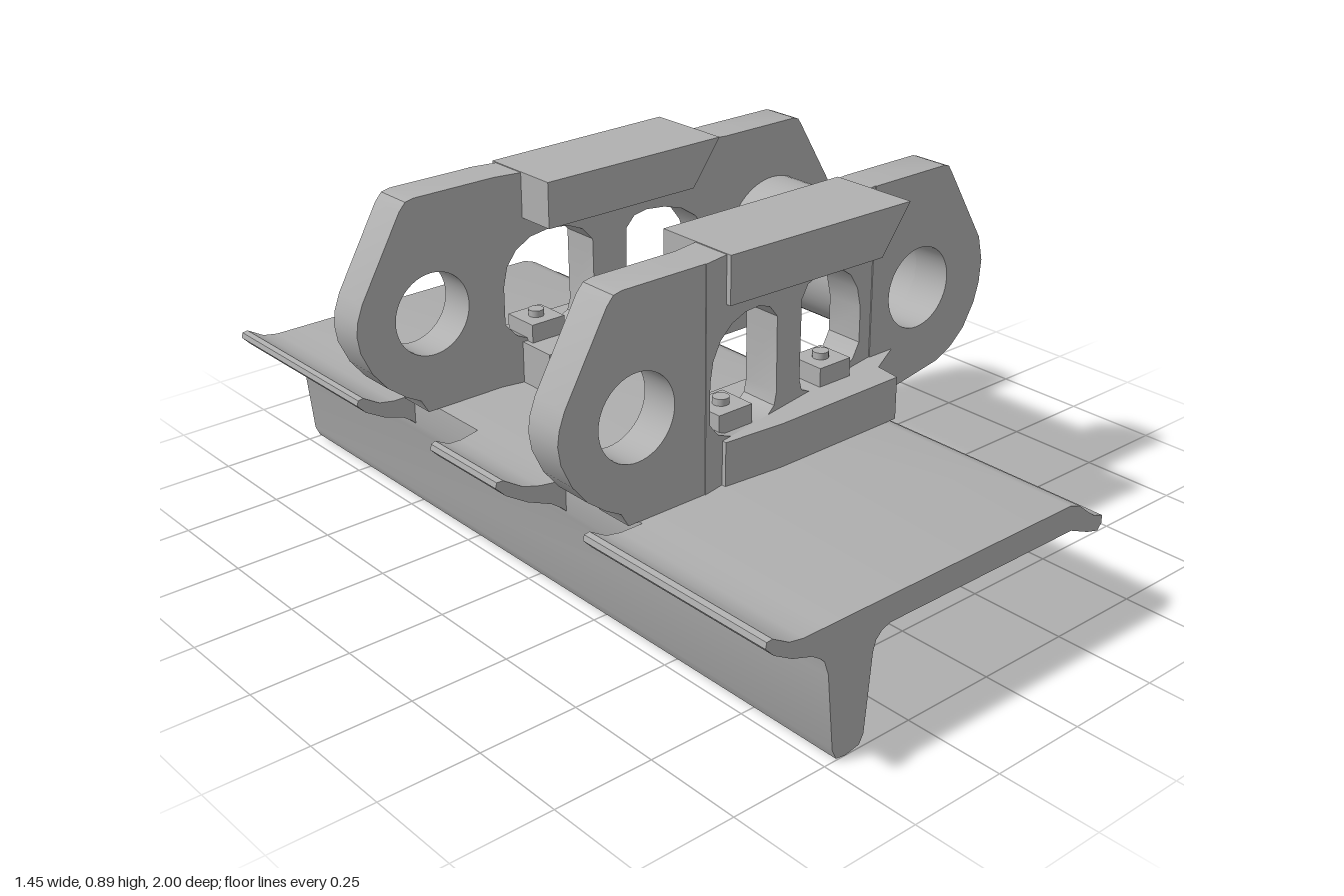
import * as THREE from 'three';
import { toCreasedNormals } from 'three/addons/utils/BufferGeometryUtils.js';

const steel = new THREE.MeshStandardMaterial({ color: 0xb0b0b0 });
steel.name = 'grey steel';

const toShape = (pts) => new THREE.Shape(pts.map(([x, y]) => new THREE.Vector2(x, y)));
const toHole = (pts) => new THREE.Path(pts.map(([x, y]) => new THREE.Vector2(x, y)));
function circleHole(x, y, r) {
  const p = new THREE.Path();
  p.absarc(x, y, r, 0, Math.PI * 2, true);
  return p;
}

function addMesh(parent, name, geometry, crease = 0.6) {
  const mesh = new THREE.Mesh(toCreasedNormals(geometry, crease), steel);
  mesh.name = name;
  parent.add(mesh);
  return mesh;
}

// Extrudes a front-view shape between two z values
function slab(shape, za, zb) {
  const g = new THREE.ExtrudeGeometry(shape, {
    depth: Math.abs(zb - za), bevelEnabled: false, curveSegments: 24,
  });
  return g.translate(0, 0, Math.min(za, zb));
}

// Moves each vertex by a rule
function warp(g, rule) {
  const p = g.attributes.position;
  const v = new THREE.Vector3();
  for (let i = 0; i < p.count; i++) {
    rule(v.fromBufferAttribute(p, i));
    p.setXYZ(i, v.x, v.y, v.z);
  }
  return g;
}

const PIN_Y = 0.585, TOP = 0.885, BASE = 0.335, SPLIT = 0.32;

function makeLink(s) {
  const link = new THREE.Group();
  link.name = s > 0 ? 'frontLink' : 'backLink';

  // Outer eye plate
  const outer = toShape([
    [-SPLIT, BASE], [-SPLIT, TOP], [-0.55, TOP], [-0.572, 0.88], [-0.59, 0.86],
    [-0.705, 0.66], [-0.72, 0.62], [-0.725, 0.585], [-0.718, 0.54], [-0.69, 0.48],
    [-0.65, 0.43], [-0.6, 0.392], [-0.56, 0.37], [-0.54, BASE],
  ]);
  outer.holes.push(circleHole(-0.513, PIN_Y, 0.105));
  addMesh(link, 'outerEye', slab(outer, 0.33 * s, 0.43 * s));

  // Inner eye plate
  const inner = toShape([
    [SPLIT, BASE], [0.4, BASE], [0.57, 0.365], [0.62, 0.39], [0.665, 0.43], [0.7, 0.49],
    [0.715, 0.54], [0.72, 0.6], [0.705, 0.665], [0.588, 0.86], [0.575, 0.88],
    [0.56, TOP], [SPLIT, TOP],
  ]);
  inner.holes.push(circleHole(0.485, PIN_Y, 0.105));
  addMesh(link, 'innerEye', slab(inner, 0.21 * s, 0.315 * s));

  // Slanted web with two bolt windows
  const web = toShape([[-SPLIT, BASE], [SPLIT, BASE], [SPLIT, TOP], [-SPLIT, TOP]]);
  web.holes.push(toHole([
    [-0.305, 0.5], [-0.305, 0.6], [-0.295, 0.65], [-0.27, 0.69], [-0.23, 0.718], [-0.18, 0.73],
    [-0.13, 0.728], [-0.09, 0.712], [-0.062, 0.68], [-0.06, 0.49], [-0.068, 0.46],
    [-0.09, 0.445], [-0.23, 0.445], [-0.275, 0.465],
  ]));
  web.holes.push(toHole([
    [0.03, 0.49], [0.032, 0.69], [0.055, 0.72], [0.09, 0.73], [0.14, 0.728], [0.19, 0.715],
    [0.23, 0.688], [0.26, 0.645], [0.275, 0.59], [0.275, 0.5], [0.25, 0.465],
    [0.2, 0.445], [0.07, 0.445], [0.04, 0.46],
  ]));
  const webGeo = warp(slab(web, 0.33 * s, 0.432 * s), (v) => {
    v.z -= s * 0.12 * (v.x + SPLIT) / (2 * SPLIT);
  });
  addMesh(link, 'web', webGeo);

  // Wide rail along the top, undercut at its inner end
  const rail = toShape([[-0.25, 0.77], [0.21, 0.77], [0.297, TOP + 0.002], [-0.25, TOP + 0.002]]);
  const railGeo = warp(slab(rail, 0.21 * s, 0.445 * s), (v) => {
    if (v.x < -0.2 && Math.abs(v.z) > 0.4) v.z = 0.432 * s;
  });
  addMesh(link, 'rail', railGeo);

  // Foot that takes the bolts
  const plan = [
    [-0.26, 0.21], [0.4, 0.21], [0.4, 0.314], [0.295, 0.37], [0.285, 0.44],
    [-0.1, 0.445], [-0.26, 0.432],
  ];
  const foot = new THREE.ExtrudeGeometry(toShape(plan.map(([x, z]) => [x, -z * s])), {
    depth: 0.445 - BASE, bevelEnabled: false,
  });
  foot.rotateX(-Math.PI / 2).translate(0, BASE, 0);
  addMesh(link, 'foot', foot);

  // Bolts: square nut and stud above, chamfered hex head below
  for (const [x, z] of [[-0.197, 0.345], [0.155, 0.31]]) {
    const bolt = new THREE.Group();
    bolt.name = 'bolt';
    bolt.position.set(x, 0, z * s);
    addMesh(bolt, 'nut', new THREE.BoxGeometry(0.1, 0.05, 0.1).translate(0, 0.468, 0));
    addMesh(bolt, 'stud', new THREE.CylinderGeometry(0.02, 0.02, 0.03, 16).translate(0, 0.495, 0));
    const head = [[0, 0.207], [0.045, 0.207], [0.075, 0.23], [0.075, 0.275], [0, 0.275]];
    addMesh(bolt, 'head', new THREE.LatheGeometry(
      head.map(([r, y]) => new THREE.Vector2(r, y)), 6), 0.2);
    link.add(bolt);
  }
  return link;
}

function makeShoe() {
  const shoe = new THREE.Group();
  shoe.name = 'trackShoe';

  // Plate with a hooked edge and the grouser bar
  addMesh(shoe, 'plateAndGrouser', slab(toShape([
    [-0.51, BASE], [0.25, BASE], [0.285, 0.323], [0.315, 0.298], [0.34, 0.28], [0.37, 0.27],
    [0.37, 0.25], [0.357, 0.235], [0.32, 0.245], [0.26, 0.27], [-0.32, 0.27], [-0.345, 0.262],
    [-0.362, 0.245], [-0.37, 0.22], [-0.388, 0.03], [-0.4, 0.008], [-0.44, 0], [-0.467, 0.004],
    [-0.479, 0.03], [-0.498, 0.22], [-0.51, 0.255],
  ]), -1, 1));

  // Raised lip, cut away where the links pass
  const lip = toShape([
    [-0.51, BASE], [-0.57, 0.335], [-0.61, 0.342], [-0.655, 0.368], [-0.67, 0.366],
    [-0.673, 0.352], [-0.65, 0.328], [-0.6, 0.3], [-0.545, 0.282], [-0.52, 0.265], [-0.51, 0.255],
  ]);
  for (const s of [1, -1]) addMesh(shoe, 'lip', slab(lip, 0.44 * s, s));
  const tab = warp(slab(lip, -0.17, 0.17), (v) => {
    v.z *= 1 - 0.25 * Math.min(1, (-0.51 - v.x) / 0.163);
  });
  addMesh(shoe, 'centreTab', tab);
  return shoe;
}

export function createModel() {
  const model = new THREE.Group();
  model.name = 'trackLinkAssembly';
  model.add(makeShoe(), makeLink(1), makeLink(-1));

  // Hollow bushing between the links
  const ring = new THREE.Shape();
  ring.absarc(0.485, PIN_Y, 0.155, 0, Math.PI * 2, false);
  ring.holes.push(circleHole(0.485, PIN_Y, 0.105));
  addMesh(model, 'bushing', slab(ring, -0.212, 0.212));
  return model;
}
